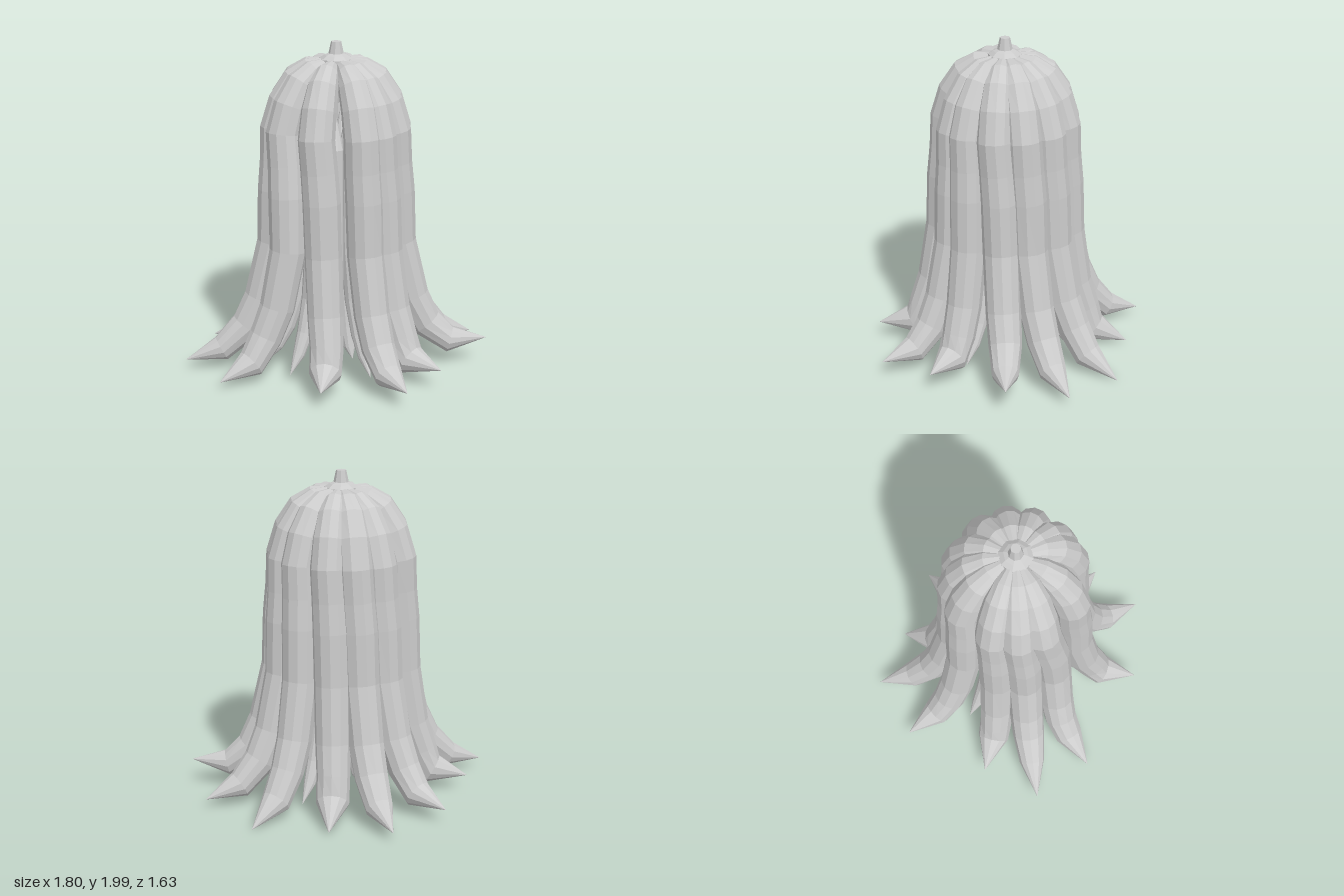
import * as THREE from 'three';

const SIDES = 12;
const CX = -0.02, CZ = 0.02; // centre of the crown

// Sweep a ring along rings [x, y, z, radius]; the end rings are nearly points.
function sweep(rings, side) {
  const pos = [], index = [];
  const pts = rings.map((r) => new THREE.Vector3(r[0], r[1], r[2]));
  rings.forEach((ring, i) => {
    const t = pts[Math.min(i + 1, pts.length - 1)].clone().sub(pts[Math.max(i - 1, 0)]).normalize();
    const s = side.clone().addScaledVector(t, -side.dot(t)).normalize();
    const n = s.clone().cross(t);
    for (let j = 0; j < SIDES; j++) {
      const a = (j / SIDES) * Math.PI * 2;
      const p = pts[i].clone()
        .addScaledVector(n, Math.cos(a) * ring[3])
        .addScaledVector(s, Math.sin(a) * ring[3]);
      pos.push(p.x, p.y, p.z);
      if (i < rings.length - 1) {
        const k = (j + 1) % SIDES, b = i * SIDES, c = b + SIDES;
        index.push(b + j, b + k, c + j, b + k, c + k, c + j);
      }
    }
  });
  const g = new THREE.BufferGeometry();
  g.setAttribute('position', new THREE.Float32BufferAttribute(pos, 3));
  g.setIndex(index);
  g.computeVertexNormals();
  return g;
}

// Tentacle around the crown axis; rows are [distance, height, radius, turn from the foot angle].
function tentacle(angle, rows) {
  const rings = rows.map(([r, y, rad, turn = 0]) =>
    [Math.cos(angle + turn) * r, y, Math.sin(angle + turn) * r, rad]);
  return sweep(rings, new THREE.Vector3(-Math.sin(angle), 0, Math.cos(angle)));
}

// Outer strand: lobe of the dome, turned by top and mid, ending in a flared foot.
function outerTentacle([x, tipY, z, top, mid]) {
  const reach = Math.hypot(x - CX, z - CZ);
  const spread = reach - 0.82;
  return tentacle(Math.atan2(z - CZ, x - CX), [
    [0.03, 1.88, 0.01, top],
    [0.07, 1.87, 0.035, top],
    [0.15, 1.84, 0.068, top],
    [0.23, 1.775, 0.09, top],
    [0.3, 1.65, 0.103, top],
    [0.345, 1.49, 0.108, top],
    [0.348, 1.3, 0.11, top * 0.6 + mid * 0.4],
    [0.362, 1.12, 0.112, top * 0.25 + mid * 0.75],
    [0.375, 0.8, 0.11, mid],
    [0.44 + spread * 0.2, 0.45, 0.106, mid * 0.4],
    [0.51 + spread * 0.4, 0.27, 0.1],
    [reach - 0.22, 0.11 + tipY * 0.27, 0.092 - spread * 0.12],
    [reach, tipY, 0.001],
  ]);
}

// Inner strand: slender, curving out into a long point.
function innerTentacle(angle, reach, tipY) {
  return tentacle(angle, [
    [reach * 0.3, 1.6, 0.01],
    [reach * 0.4, 1.4, 0.065],
    [reach * 0.44, 0.8, 0.068],
    [reach * 0.54, 0.48, 0.06],
    [reach * 0.68, 0.28, 0.05],
    [reach * 0.82, 0.16, 0.036],
    [reach, tipY, 0.001],
  ]);
}

export function createModel() {
  const group = new THREE.Group();
  const mat = new THREE.MeshStandardMaterial({ color: 0xcccccc, flatShading: true });
  const add = (name, geometry) => {
    const mesh = new THREE.Mesh(geometry, mat);
    mesh.name = name;
    mesh.position.set(CX, 0, CZ);
    group.add(mesh);
  };

  // Foot tip of each outer tentacle, then the turn of its lobe at the top and middle
  const tips = [
    [0.9, 0.18, -0.01, 0.17, 0.06], [0.78, 0.07, -0.38, 0.12, 0.04],
    [0.48, 0.01, -0.67, 0.12, 0.04], [0.03, 0.03, -0.74, 0.12, 0.04],
    [-0.34, 0.07, -0.82, 0.1, 0.02], [-0.65, 0.1, -0.56, 0.12, 0.04],
    [-0.8, 0.1, -0.03, 0.12, 0.04], [-0.9, 0.07, 0.33, 0.1, 0],
    [-0.63, 0.06, 0.61, 0.13, -0.08], [0, 0.12, 0.81, 0.22, 0.09],
    [0.49, 0.12, 0.74, 0.03, 0], [0.66, 0.14, 0.44, 0.1, 0.03],
  ];
  tips.forEach((tip, i) => add('outerTentacle' + (i + 1), outerTentacle(tip)));

  // Inner tentacles: one ring behind the outer feet, a smaller one at the core
  for (let i = 0; i < 12; i++) {
    add('innerTentacle' + (i + 1), innerTentacle(((i + 0.9) * Math.PI) / 6, 0.48, 0.06));
  }
  for (let i = 0; i < 6; i++) {
    add('coreTentacle' + (i + 1), innerTentacle((i * Math.PI) / 3, 0.26, 0.1));
  }

  // Stem with a flared collar on the crown
  const stemProfile = [[0, 1.85], [0.1, 1.87], [0.1, 1.9], [0.07, 1.92], [0.045, 1.93], [0.03, 2], [0, 2]];
  add('stem', new THREE.LatheGeometry(stemProfile.map(([r, y]) => new THREE.Vector2(r, y)), 8));

  return group;
}
